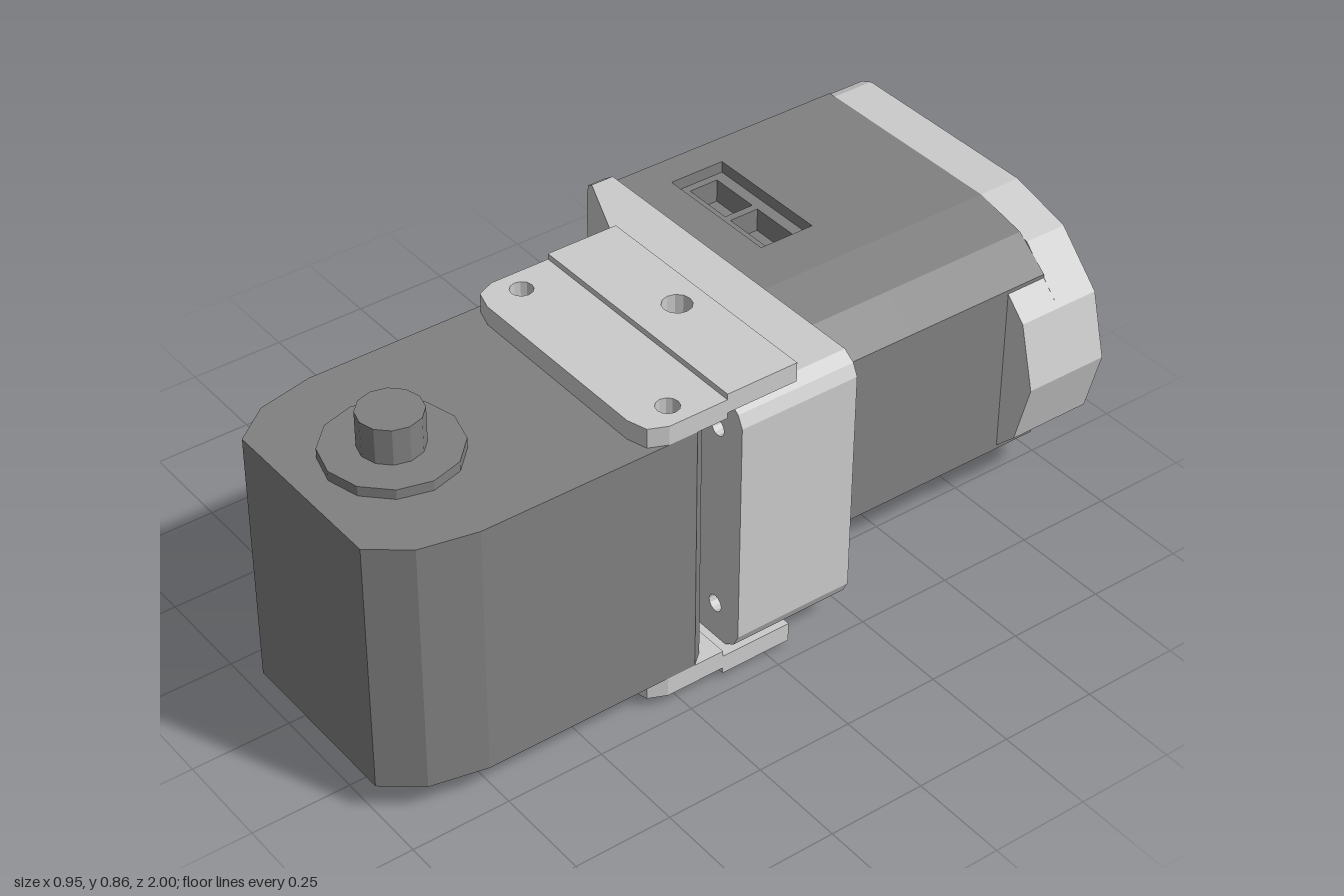
import * as THREE from 'three';

const dark = new THREE.MeshStandardMaterial({ color: 0x808080, flatShading: true });
const light = new THREE.MeshStandardMaterial({ color: 0xcccccc, flatShading: true });

const toVectors = (pts) => pts.map(([x, y]) => new THREE.Vector2(x, y));

// Outline in x/y extruded along z from z0 to z1; holes are [x, y, radius]
function prismZ(pts, z0, z1, holes = []) {
  const shape = new THREE.Shape(toVectors(pts));
  for (const [cx, cy, r] of holes) {
    const ring = [];
    for (let i = 0; i < 12; i++) {
      const a = (i * Math.PI) / 6;
      ring.push([cx + r * Math.cos(a), cy + r * Math.sin(a)]);
    }
    shape.holes.push(new THREE.Path(toVectors(ring)));
  }
  return new THREE.ExtrudeGeometry(shape, { depth: z1 - z0, bevelEnabled: false }).translate(0, 0, z0);
}

// Outline in x/z extruded along y from y0 to y1
function prismY(pts, y0, y1, holes = []) {
  const flip = ([x, z, ...rest]) => [x, -z, ...rest];
  return prismZ(pts.map(flip), y0, y1, holes.map(flip)).rotateX(-Math.PI / 2);
}

function add(parent, name, geometry, material) {
  const mesh = new THREE.Mesh(geometry, material);
  mesh.name = name;
  parent.add(mesh);
  return mesh;
}

// Motor unit: output axis along y through the origin, rounded end towards +z
function createServo(name) {
  const servo = new THREE.Group();
  servo.name = name;
  const half = [[0.33, -0.56], [0.33, 0], [0.30, 0.14], [0.23, 0.23]];
  const right = [[0.30, -0.595], ...half];
  const left = right.map(([x, z]) => [-x, z]).reverse();

  // Connector recess on the -x side, cut as notches in the stacked layers
  const d1 = -0.30, d2 = -0.24;
  const pocket = [[-0.33, -0.135], [d1, -0.135], [d1, -0.475], [-0.33, -0.475]];
  const sockets = [
    [-0.33, -0.135], [d1, -0.135],
    [d1, -0.165], [d2, -0.165], [d2, -0.30], [d1, -0.30],
    [d1, -0.32], [d2, -0.32], [d2, -0.455], [d1, -0.455],
    [d1, -0.475], [-0.33, -0.475],
  ];
  const layers = [
    [-0.33, -0.22, []], [-0.22, -0.18, pocket], [-0.18, -0.10, sockets],
    [-0.10, -0.07, pocket], [-0.07, 0.33, []],
  ];
  for (const [y0, y1, notch] of layers) {
    const outline = [...right, ...left.slice(0, 3), ...notch, ...left.slice(3)];
    add(servo, 'servoBody', prismY(outline, y0, y1), dark);
  }

  // Output shafts and their collars
  for (const [side, length] of [[1, 0.115], [-1, 0.08]]) {
    const collar = new THREE.CylinderGeometry(0.16, 0.16, 0.025, 12);
    add(servo, 'shaftCollar', collar, dark).position.y = side * 0.3425;
    const shaft = new THREE.CylinderGeometry(0.076, 0.076, length, 12);
    add(servo, 'shaft', shaft, dark).position.y = side * (0.33 + length / 2);
  }
  return servo;
}

export function createModel() {
  const model = new THREE.Group();
  model.name = 'twoServoJoint';

  const frontServo = createServo('frontServo');
  frontServo.position.set(0.13, 0.41, 0.77);
  const rearServo = createServo('rearServo');
  rearServo.quaternion.setFromRotationMatrix(new THREE.Matrix4().makeBasis(
    new THREE.Vector3(0, -1, 0), new THREE.Vector3(0, 0, -1), new THREE.Vector3(1, 0, 0)));
  rearServo.position.set(0.13, 0.41, -0.55);
  model.add(frontServo, rearServo);

  // Rear cover with a round window and a hood over the motor's rounded end
  const arc = [];
  for (let i = -3; i <= 3; i++) {
    const a = (i * Math.PI) / 6;
    arc.push([0.13 + 0.33 * Math.cos(a), 0.41 + 0.33 * Math.sin(a)]);
  }
  const cover = [...arc, [-0.41, 0.74], [-0.445, 0.725], [-0.46, 0.69],
    [-0.46, 0.13], [-0.445, 0.095], [-0.41, 0.08]];
  add(model, 'rearCover', prismZ(cover, -0.995, -0.88, [[0.13, 0.41, 0.2]]), light);
  const hood = [[0.36, 0.19], ...arc.slice(2, 5), [0.36, 0.63]];
  add(model, 'coverHood', prismZ(hood, -0.88, -0.77), light);

  // Bracket: plate behind, mounting block in front
  const rightEdge = [[0.43, 0.065], [0.46, 0.085], [0.475, 0.115],
    [0.475, 0.705], [0.46, 0.735], [0.43, 0.755]];
  add(model, 'bracketPlate', prismZ([[-0.2, 0.065], ...rightEdge, [-0.2, 0.755]], -0.22, -0.06), light);
  const leftEdge = rightEdge.map(([x, y]) => [0.265 - x, y]).reverse();
  const screws = [];
  for (const sx of [-1, 1]) for (const sy of [-1, 1]) screws.push([0.13 + sx * 0.26, 0.41 + sy * 0.25, 0.022]);
  add(model, 'mountingBlock', prismZ([...rightEdge, ...leftEdge], -0.06, 0.1, screws), light);

  // Tapering bracket wing with an open cable notch
  const wingTop = [[-0.2, 0.755], [-0.43, 0.755], [-0.465, 0.73], [-0.48, 0.69],
    [-0.48, 0.57], [-0.45, 0.566], [-0.42, 0.574], [-0.345, 0.565], [-0.28, 0.52], [-0.24, 0.447]];
  const wingBottom = wingTop.map(([x, y]) => [x, 0.82 - y]).reverse();
  const wing = prismZ([...wingTop, ...wingBottom], -0.22, -0.06);
  const p = wing.attributes.position;
  for (let i = 0; i < p.count; i++) {
    if (p.getZ(i) > -0.1) p.setZ(i, -0.06 - (-0.2 - p.getX(i)) * 0.43);
  }
  wing.computeVertexNormals();
  add(model, 'bracketWing', wing, light);

  // Stepped clamp plates above and below, mirrored about y = 0.41
  const tongue = [[-0.2, 0.13], [0.46, 0.13], [0.46, 0.285], [0.44, 0.33], [0.39, 0.345],
    [-0.13, 0.345], [-0.18, 0.33], [-0.2, 0.285]];
  const base = [[-0.2, -0.06], [0.46, -0.06], [0.46, 0.13], [-0.2, 0.13]];
  for (const top of [true, false]) {
    const span = (a, b) => (top ? [a, b] : [0.82 - b, 0.82 - a]);
    add(model, 'clampTongue',
      prismY(tongue, ...span(0.74, 0.79), [[-0.14, 0.245, 0.028], [0.4, 0.245, 0.028]]), light);
    add(model, 'clampBase', prismY(base, ...span(0.755, 0.805), [[0.13, 0.015, 0.036]]), light);
  }
  return model;
}
